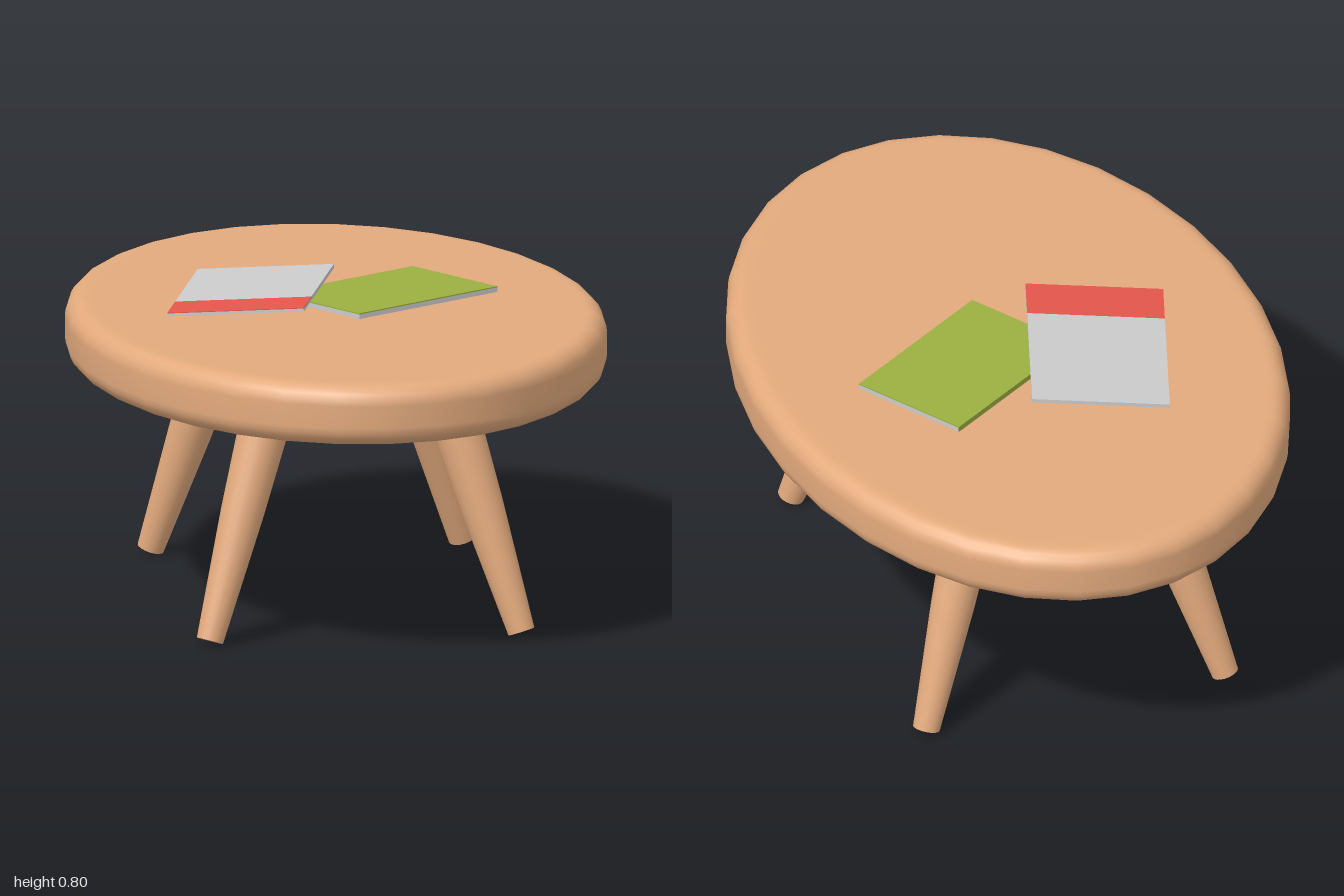
import * as THREE from 'three';
import { mergeVertices } from 'three/addons/utils/BufferGeometryUtils.js';

const material = (color) => new THREE.MeshStandardMaterial({ color });

function addMesh(parent, name, geometry, mat, x = 0, y = 0, z = 0) {
  const mesh = new THREE.Mesh(geometry, mat);
  mesh.name = name;
  mesh.position.set(x, y, z);
  parent.add(mesh);
  return mesh;
}

// Oval slab with an evenly rounded rim
function topGeometry(rx, rz, y0, y1, bevel) {
  const profile = [new THREE.Vector2(0, y0), new THREE.Vector2(rz - bevel - 0.02, y0)];
  const steps = 5;
  for (const side of [-1, 1]) {
    const cy = side < 0 ? y0 + bevel : y1 - bevel;
    for (let i = 0; i <= steps; i++) {
      const a = ((i / steps) + (side < 0 ? -1 : 0)) * Math.PI / 2;
      profile.push(new THREE.Vector2(rz - bevel + bevel * Math.cos(a), cy + bevel * Math.sin(a)));
    }
  }
  profile.push(new THREE.Vector2(rz - bevel - 0.02, y1), new THREE.Vector2(0, y1));
  const lathe = new THREE.LatheGeometry(profile, 32);
  const p = lathe.attributes.position;
  for (let i = 0; i < p.count; i++) {
    const r = Math.hypot(p.getX(i), p.getZ(i));
    if (r > 0.5) p.setX(i, p.getX(i) * (r - (rz - rx)) / r);
  }
  lathe.deleteAttribute('uv');
  lathe.deleteAttribute('normal');
  const geometry = mergeVertices(lathe, 1e-5);
  geometry.computeVertexNormals();
  return geometry;
}

export function createModel() {
  const model = new THREE.Group();
  model.name = 'coffeeTable';
  const wood = material(0xe3aa7d);
  const grey = material(0xcccccc);
  const green = material(0x9caf40);
  const red = material(0xe4564c);

  addMesh(model, 'tableTop', topGeometry(0.688, 1, 0.604, 0.762, 0.05), wood);

  // Splayed, slightly swollen legs
  const foot = new THREE.Vector3(0.403, 0.012, 0.555);
  const head = new THREE.Vector3(0.217, 0.65, 0.42);
  const length = foot.distanceTo(head);
  const legGeometry = new THREE.CylinderGeometry(0.07, 0.035, length, 20, 2);
  const p = legGeometry.attributes.position;
  for (let i = 0; i < p.count; i++) {
    if (Math.abs(p.getY(i)) < 0.01) p.setXYZ(i, p.getX(i) * 1.07, p.getY(i), p.getZ(i) * 1.07);
  }
  for (const sx of [-1, 1]) {
    for (const sz of [-1, 1]) {
      const flip = new THREE.Vector3(sx, 1, sz);
      const a = foot.clone().multiply(flip);
      const b = head.clone().multiply(flip);
      const leg = addMesh(model, (sz > 0 ? 'front' : 'back') + (sx > 0 ? 'Left' : 'Right') + 'Leg', legGeometry, wood);
      leg.position.copy(a).add(b).multiplyScalar(0.5);
      leg.quaternion.setFromUnitVectors(new THREE.Vector3(0, 1, 0), b.sub(a).normalize());
    }
  }

  // Flat magazine with a green cover and spine
  const greenBook = new THREE.Group();
  greenBook.name = 'greenMagazine';
  greenBook.position.set(0.14, 0.763, -0.078);
  greenBook.rotation.y = 0.6;
  addMesh(greenBook, 'pages', new THREE.BoxGeometry(0.478, 0.012, 0.32), grey, 0, 0.006, 0.0015);
  addMesh(greenBook, 'cover', new THREE.BoxGeometry(0.478, 0.003, 0.323), green, 0, 0.0135, 0);
  addMesh(greenBook, 'spine', new THREE.BoxGeometry(0.478, 0.012, 0.003), green, 0, 0.006, -0.16);
  model.add(greenBook);

  // Grey magazine leaning on the green one, with a red band at one end
  const greyBook = new THREE.Group();
  greyBook.name = 'greyMagazine';
  greyBook.position.set(-0.205, 0.775, -0.11);
  greyBook.rotation.set(0, -0.286, 0.07, 'YXZ');
  addMesh(greyBook, 'pages', new THREE.BoxGeometry(0.354, 0.008, 0.524), grey, 0, 0.004, 0);
  addMesh(greyBook, 'cover', new THREE.BoxGeometry(0.354, 0.002, 0.39), grey, 0, 0.009, -0.067);
  addMesh(greyBook, 'redBand', new THREE.BoxGeometry(0.354, 0.002, 0.134), red, 0, 0.009, 0.195);
  model.add(greyBook);

  return model;
}
